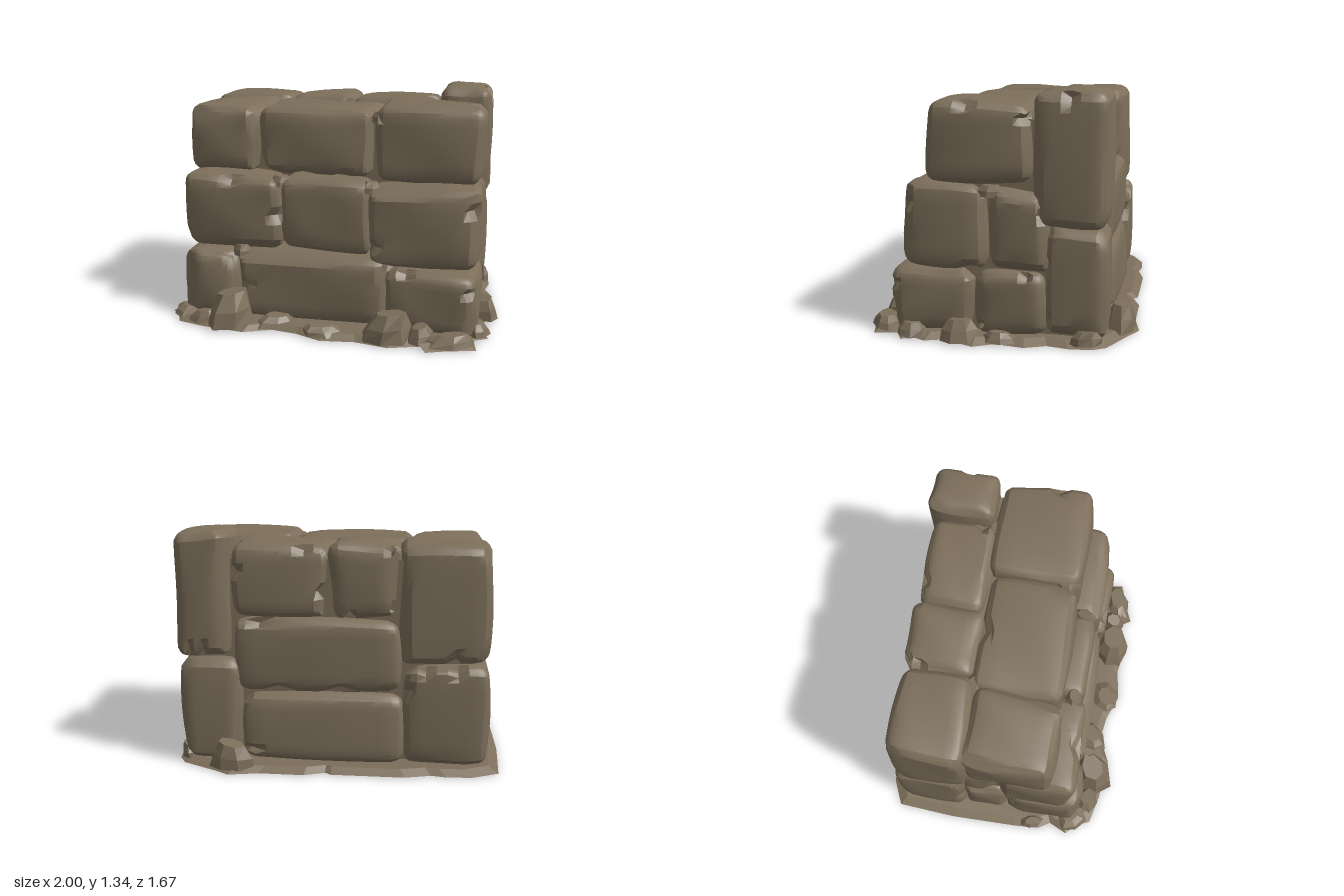
import * as THREE from 'three';
import { mergeVertices, toCreasedNormals } from 'three/addons/utils/BufferGeometryUtils.js';

const stoneMat = new THREE.MeshStandardMaterial({ color: 0x7c6e5a });
stoneMat.name = 'weathered stone';

function seeded(seed) {
  let s = seed * 7919 + 17;
  return () => {
    s = (s + 0x6d2b79f5) | 0;
    let t = Math.imul(s ^ (s >>> 15), 1 | s);
    t = (t + Math.imul(t ^ (t >>> 7), 61 | t)) ^ t;
    return ((t ^ (t >>> 14)) >>> 0) / 4294967296;
  };
}

// A rough-hewn block: rounded box, skewed corners, bulging faces, chipped and nicked edges
function hewnStone(w, h, d, seed) {
  const rnd = seeded(seed);
  const segs = 12, skew = 0.016;
  const half = [w / 2, h / 2, d / 2];
  const r = Math.min(0.06, ...half.map((v) => v * 0.6));
  let geo = new THREE.BoxGeometry(2, 2, 2, segs, segs, segs);
  geo.deleteAttribute('uv');
  geo.deleteAttribute('normal');
  geo = mergeVertices(geo);

  // Planes that shave edges and corners
  const planes = [];
  for (let i = 0; i < 11; i++) {
    const n = new THREE.Vector3(...half.map(() => (rnd() < 0.5 ? -1 : 1) * (0.5 + rnd())));
    if (rnd() < 0.65) n.setComponent(Math.floor(rnd() * 3), (rnd() - 0.5) * 0.5);
    n.normalize();
    let reach = r;
    half.forEach((v, k) => { reach += Math.abs(n.getComponent(k)) * (v - r); });
    planes.push([n, reach - (0.1 + rnd() * 0.55) * r]);
  }
  // Narrow splits across some edges
  const nicks = Array.from({ length: 4 }, () => ({
    axis: Math.floor(rnd() * 3),
    at: -1 + (2 * (3 + Math.floor(rnd() * (segs - 5)))) / segs,
    a: rnd() < 0.5 ? -1 : 1,
    b: rnd() < 0.5 ? -1 : 1,
  }));
  const corner = Array.from({ length: 8 }, () => [0, 1, 2].map(() => (rnd() - 0.5) * 2 * skew));
  const phase = rnd() * 6;

  const pos = geo.attributes.position;
  const p = new THREE.Vector3(), q = new THREE.Vector3();
  for (let i = 0; i < pos.count; i++) {
    const t = [pos.getX(i), pos.getY(i), pos.getZ(i)];
    const n = t.map((v) => Math.sin(v * Math.PI / 2));
    p.set(n[0] * half[0], n[1] * half[1], n[2] * half[2]);
    q.set(...half.map((v, k) => THREE.MathUtils.clamp(p.getComponent(k), r - v, v - r)));
    p.sub(q).setLength(r).add(q);
    // Faces swell in the middle
    for (let k = 0; k < 3; k++) {
      const a = n[(k + 1) % 3], b = n[(k + 2) % 3];
      const swell = 0.2 * (1 - a * a) * (1 - b * b) + 0.08 * Math.sin(a * 3 + b * 2.3 + phase + k) - 0.15;
      p.setComponent(k, p.getComponent(k) + n[k] * swell * r);
    }
    for (const [normal, dist] of planes) {
      const over = p.dot(normal) - dist;
      if (over > 0) p.addScaledVector(normal, -over);
    }
    for (const { axis, at, a, b } of nicks) {
      const ka = (axis + 1) % 3, kb = (axis + 2) % 3;
      if (Math.abs(t[axis] - at) < 0.01 && t[ka] * a > 0.6 && t[kb] * b > 0.6) {
        p.setComponent(ka, p.getComponent(ka) - a * 0.022);
        p.setComponent(kb, p.getComponent(kb) - b * 0.022);
      }
    }
    // Blend the eight corner offsets
    for (let c = 0; c < 8; c++) {
      const s = [c & 1, c & 2, c & 4].map((bit, k) => (1 + (bit ? n[k] : -n[k])) / 2);
      const weight = s[0] * s[1] * s[2];
      p.set(...corner[c].map((o, k) => p.getComponent(k) + o * weight));
    }
    pos.setXYZ(i, p.x, p.y, p.z);
  }
  return toCreasedNormals(geo, 0.42);
}

// An angular broken piece, standing on y = 0: wide foot, small tilted top
function shard(w, h, d, seed) {
  const rnd = seeded(seed);
  let geo = new THREE.CylinderGeometry(0.28, 0.5, 1, 7, 2);
  geo.deleteAttribute('uv');
  geo.deleteAttribute('normal');
  geo = mergeVertices(geo);
  const tilt = (rnd() - 0.5) * 0.9, lean = (rnd() - 0.5) * 0.25;
  const pos = geo.attributes.position;
  for (let i = 0; i < pos.count; i++) {
    const y = pos.getY(i) + 0.5;
    const grow = (0.88 + rnd() * 0.24) * (y > 0.4 && y < 0.6 ? 1.12 : 1);
    const x = pos.getX(i) * grow + lean * y, z = pos.getZ(i) * grow;
    pos.setXYZ(i, x * w, y * h * (1 + tilt * (x + z * 0.6)), z * d);
  }
  geo = geo.toNonIndexed();
  geo.computeVertexNormals();
  return geo;
}

function addMesh(parent, name, geo, x = 0, y = 0, z = 0) {
  const mesh = new THREE.Mesh(geo, stoneMat);
  mesh.name = name;
  mesh.position.set(x, y, z);
  parent.add(mesh);
  return mesh;
}

// Each block: name, x range, y range, z range in the wall's own axes
const blocks = [
  // front face, bottom, middle and top courses
  ['frontBottomLeftEnd', -0.835, -0.49, 0.015, 0.42, 0.06, 0.525],
  ['frontBottomMiddle', -0.5, 0.39, 0.015, 0.425, 0.05, 0.51],
  ['frontBottomRightEnd', 0.385, 0.895, 0.015, 0.38, 0.08, 0.53],
  ['frontMiddleLeftEnd', -0.84, -0.25, 0.415, 0.86, 0, 0.465],
  ['frontMiddleCentre', -0.255, 0.285, 0.42, 0.85, 0, 0.44],
  ['frontMiddleRightEnd', 0.275, 0.9, 0.375, 0.84, 0.005, 0.475],
  ['frontTopLeftEnd', -0.86, -0.405, 0.855, 1.255, -0.17, 0.33],
  ['frontTopCentre', -0.41, 0.285, 0.845, 1.25, -0.2, 0.325],
  ['frontTopRightEnd', 0.27, 0.895, 0.835, 1.265, -0.22, 0.33],
  // tall corner stones at the back
  ['backRightCornerLower', 0.53, 0.88, 0.015, 0.625, -0.63, -0.29],
  ['backRightCornerUpper', 0.575, 0.885, 0.62, 1.335, -0.63, -0.23],
  ['backLeftCornerLower', -0.86, -0.38, 0.015, 0.605, -0.62, -0.2],
  ['backLeftCornerUpper', -0.86, -0.345, 0.6, 1.265, -0.6, -0.165],
  // back face
  ['backBottomLong', -0.39, 0.54, 0.015, 0.43, -0.625, -0.25],
  ['backMiddleLong', -0.37, 0.56, 0.425, 0.85, -0.62, -0.25],
  ['backTopLeft', -0.355, 0.035, 0.84, 1.265, -0.6, -0.195],
  ['backTopRight', 0.025, 0.585, 0.84, 1.26, -0.6, -0.205],
  // short fillers on the two ends
  ['rightBottomFiller', 0.5, 0.885, 0.015, 0.37, -0.3, 0.085],
  ['rightMiddleFiller', 0.5, 0.885, 0.365, 0.81, -0.32, 0.01],
  ['leftBottomFiller', -0.83, -0.4, 0.015, 0.43, -0.21, 0.07],
  ['leftMiddleFiller', -0.82, -0.4, 0.42, 0.86, -0.22, 0.02],
];

// Fallen stones round the foot: x, z, width, height, depth, turn
const rubble = [
  [-0.62, 0.48, 0.29, 0.19, 0.25, 0.4], [0.28, 0.67, 0.3, 0.15, 0.25, -0.2],
  [0.64, 0.74, 0.3, 0.06, 0.15, 0.1], [-0.9, 0.33, 0.17, 0.05, 0.2, 0.6],
  [-0.78, 0.44, 0.2, 0.06, 0.14, -0.4], [-0.36, 0.5, 0.24, 0.06, 0.17, 0.3],
  [-0.06, 0.6, 0.26, 0.05, 0.18, 0.2], [0.48, 0.69, 0.17, 0.09, 0.15, 0.8],
  [0.82, 0.58, 0.12, 0.07, 0.18, -0.3], [0.88, 0.31, 0.16, 0.11, 0.22, 0.3],
  [0.91, 0.1, 0.12, 0.05, 0.18, -0.2], [0.69, -0.57, 0.27, 0.14, 0.17, -0.3],
  [0.94, -0.36, 0.1, 0.07, 0.18, 0.2], [-0.91, 0.07, 0.09, 0.04, 0.16, 0.1],
];

// Chips wedged in the joints, in the wall's own axes
const jointChips = [
  [-0.25, 0.8, 0.38], [0.28, 0.79, 0.37], [-0.49, 0.38, 0.42], [0.38, 0.36, 0.42],
  [0.3, 1.17, 0.24], [0.56, 1.17, -0.22], [0.82, 0.77, 0], [-0.38, 1.17, -0.18],
];

const groundOutline = [
  [-0.78, -0.8], [-0.62, -0.84], [-0.48, -0.82], [-0.4, -0.79], [-0.25, -0.8], [0.15, -0.72],
  [0.18, -0.69], [0.3, -0.71], [0.55, -0.66], [0.72, -0.66], [0.8, -0.59], [0.97, -0.46],
  [1, -0.38], [0.99, -0.26], [0.95, -0.15], [0.98, -0.03], [0.93, 0.12], [0.97, 0.24],
  [0.87, 0.4], [0.89, 0.5], [0.85, 0.56], [0.87, 0.63], [0.78, 0.66], [0.78, 0.79], [0.6, 0.81],
  [0.5, 0.83], [0.48, 0.75], [0.3, 0.78], [0.12, 0.71], [-0.08, 0.7], [-0.22, 0.61], [-0.36, 0.56],
  [-0.53, 0.6], [-0.78, 0.52], [-0.93, 0.45], [-0.95, 0.36], [-1, 0.29], [-0.93, 0.19],
  [-0.96, 0.11], [-0.94, -0.05], [-0.87, -0.45],
];

export function createModel() {
  const model = new THREE.Group();
  model.name = 'stoneWall';

  // Ragged ground slab, its top drawn in a little
  const outline = new THREE.Shape(groundOutline.map(([x, z]) => new THREE.Vector2(x, -z)));
  const slab = new THREE.ExtrudeGeometry(outline, { depth: 0.03, bevelEnabled: false });
  slab.rotateX(-Math.PI / 2);
  const sp = slab.attributes.position;
  for (let i = 0; i < sp.count; i++) {
    if (sp.getY(i) > 0.01) sp.setXYZ(i, sp.getX(i) * 0.94, sp.getY(i), sp.getZ(i) * 0.94);
  }
  slab.computeVertexNormals();
  addMesh(model, 'groundSlab', slab);

  // Wall, turned slightly on its slab
  const wall = new THREE.Group();
  wall.name = 'wall';
  wall.rotation.y = -0.19;
  model.add(wall);
  addMesh(wall, 'wallCore', new THREE.BoxGeometry(1.58, 1.16, 0.8), 0.02, 0.595, -0.15);
  blocks.forEach(([name, x0, x1, y0, y1, z0, z1], i) => {
    const geo = hewnStone(x1 - x0 + 0.006, y1 - y0 + 0.006, z1 - z0 + 0.006, i + 1);
    addMesh(wall, name, geo, (x0 + x1) / 2, (y0 + y1) / 2, (z0 + z1) / 2);
  });
  jointChips.forEach(([x, y, z], i) => {
    addMesh(wall, 'jointChip', shard(0.16, 0.06, 0.11, 60 + i), x, y, z).rotation.y = i * 1.3;
  });

  // Rubble at the foot
  rubble.forEach(([x, z, w, h, d, turn], i) => {
    addMesh(model, 'rubble', shard(w, h, d, 100 + i), x, 0.01, z).rotation.y = turn;
  });
  return model;
}
